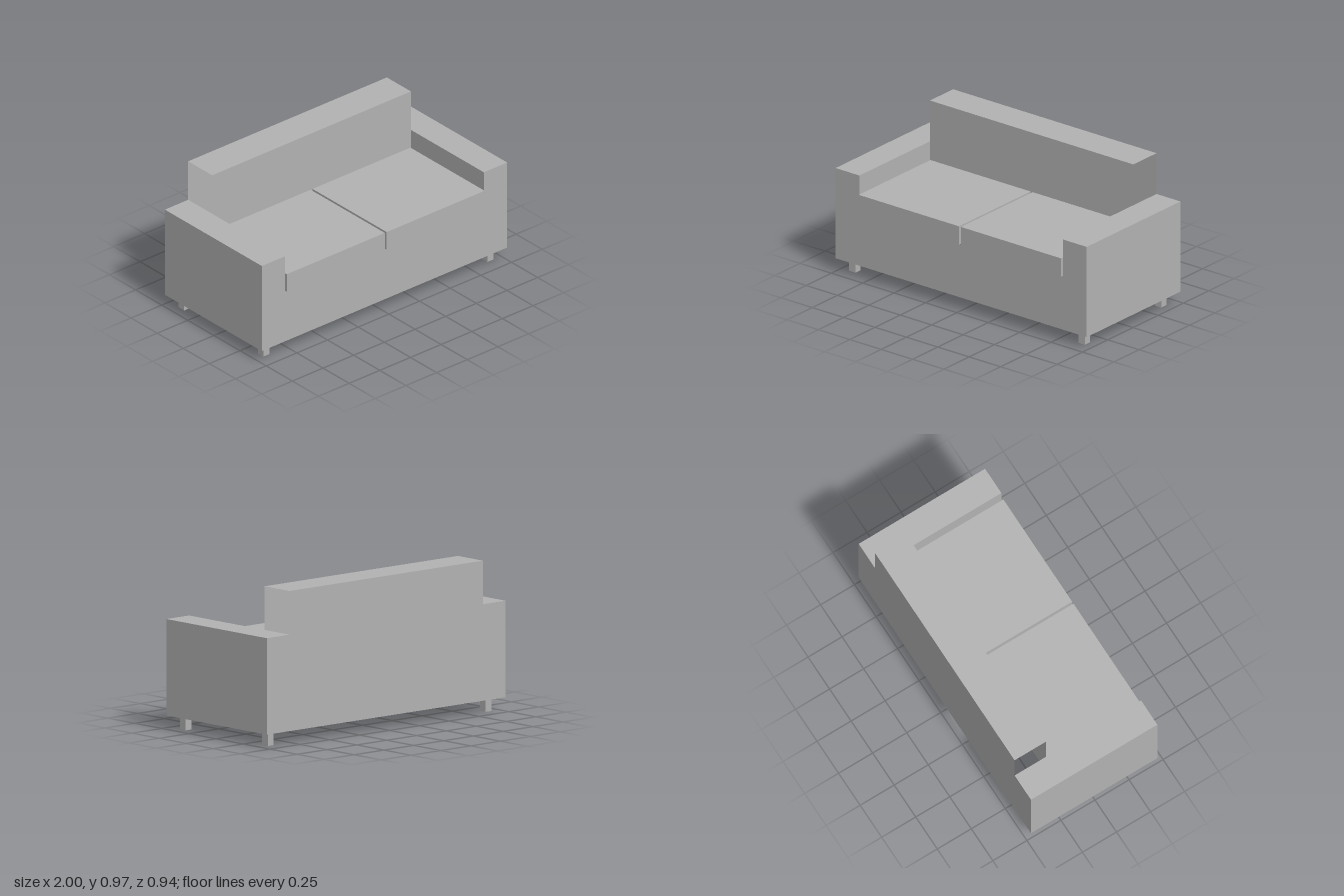
import * as THREE from 'three';

const FACES = ['px', 'nx', 'py', 'ny', 'pz', 'nz'];
const FLOOR = 0.087, SEAT = 0.445, CUSHION_TOP = 0.57, ARM = 0.695, TOP = 0.97;
const FRONT = 0.458, BACK = -0.47, REST = -0.24, INNER = 0.81;

// Box between two corners that keeps only the listed faces
function shellBox([x0, y0, z0], [x1, y1, z1], keep) {
  const g = new THREE.BoxGeometry(x1 - x0, y1 - y0, z1 - z0);
  const all = Array.from(g.index.array);
  g.setIndex(keep.flatMap((f) => all.slice(FACES.indexOf(f) * 6, FACES.indexOf(f) * 6 + 6)));
  g.clearGroups();
  return g.translate((x0 + x1) / 2, (y0 + y1) / 2, (z0 + z1) / 2);
}

// Flat panel whose outline is mirrored about x = 0
function symmetricPanel(half, z) {
  const right = half.map(([x, y]) => new THREE.Vector2(x, y));
  const left = half.map(([x, y]) => new THREE.Vector2(-x, y)).reverse();
  return new THREE.ShapeGeometry(new THREE.Shape([...right, ...left])).translate(0, 0, z);
}

export function createModel() {
  const sofa = new THREE.Group();
  sofa.name = 'sofa';
  const upholstery = new THREE.MeshStandardMaterial({ color: 0xb2b2b2, side: THREE.DoubleSide });
  upholstery.name = 'grey upholstery';

  const add = (name, geometry) => {
    const mesh = new THREE.Mesh(geometry, upholstery);
    mesh.name = name;
    sofa.add(mesh);
  };

  // Front panel with the seat opening, and stepped back panel
  add('frontPanel', symmetricPanel([[1, FLOOR], [1, ARM], [INNER, ARM], [INNER, SEAT]], FRONT));
  const back = symmetricPanel([[1, FLOOR], [1, ARM], [INNER, ARM], [INNER, TOP]], 0);
  add('backPanel', back.rotateY(Math.PI).translate(0, 0, BACK));

  // Backrest top and front, open at its ends
  add('backrest', shellBox([-INNER, SEAT, BACK], [INNER, TOP, REST], ['py', 'pz']));

  for (const side of [1, -1]) {
    const label = side > 0 ? 'left' : 'right';
    const [outer, inner] = side > 0 ? ['px', 'nx'] : ['nx', 'px'];
    const span = (a, b) => (side > 0 ? [a, b] : [-b, -a]);

    // Arm: outer wall and top, with a shorter inner wall
    const [ax0, ax1] = span(INNER, 1);
    add(label + 'Arm', shellBox([ax0, FLOOR, BACK], [ax1, ARM, FRONT], [outer, 'py']));
    add(label + 'ArmInside', shellBox([ax0, SEAT, BACK], [ax1, ARM, FRONT], [inner]));

    // Seat cushion, hollow underneath
    const [cx0, cx1] = span(0.008, 0.806);
    add(label + 'Cushion',
      shellBox([cx0, SEAT, REST], [cx1, CUSHION_TOP, 0.47], ['px', 'nx', 'py', 'pz', 'nz']));

    // Hollow square legs
    const [lx0, lx1] = span(0.888, 0.938);
    for (const [end, z0, z1] of [['Front', 0.35, 0.4], ['Back', -0.41, -0.358]]) {
      add(label + end + 'Leg', shellBox([lx0, 0, z0], [lx1, FLOOR, z1], ['px', 'nx', 'pz', 'nz']));
    }
  }
  return sofa;
}
